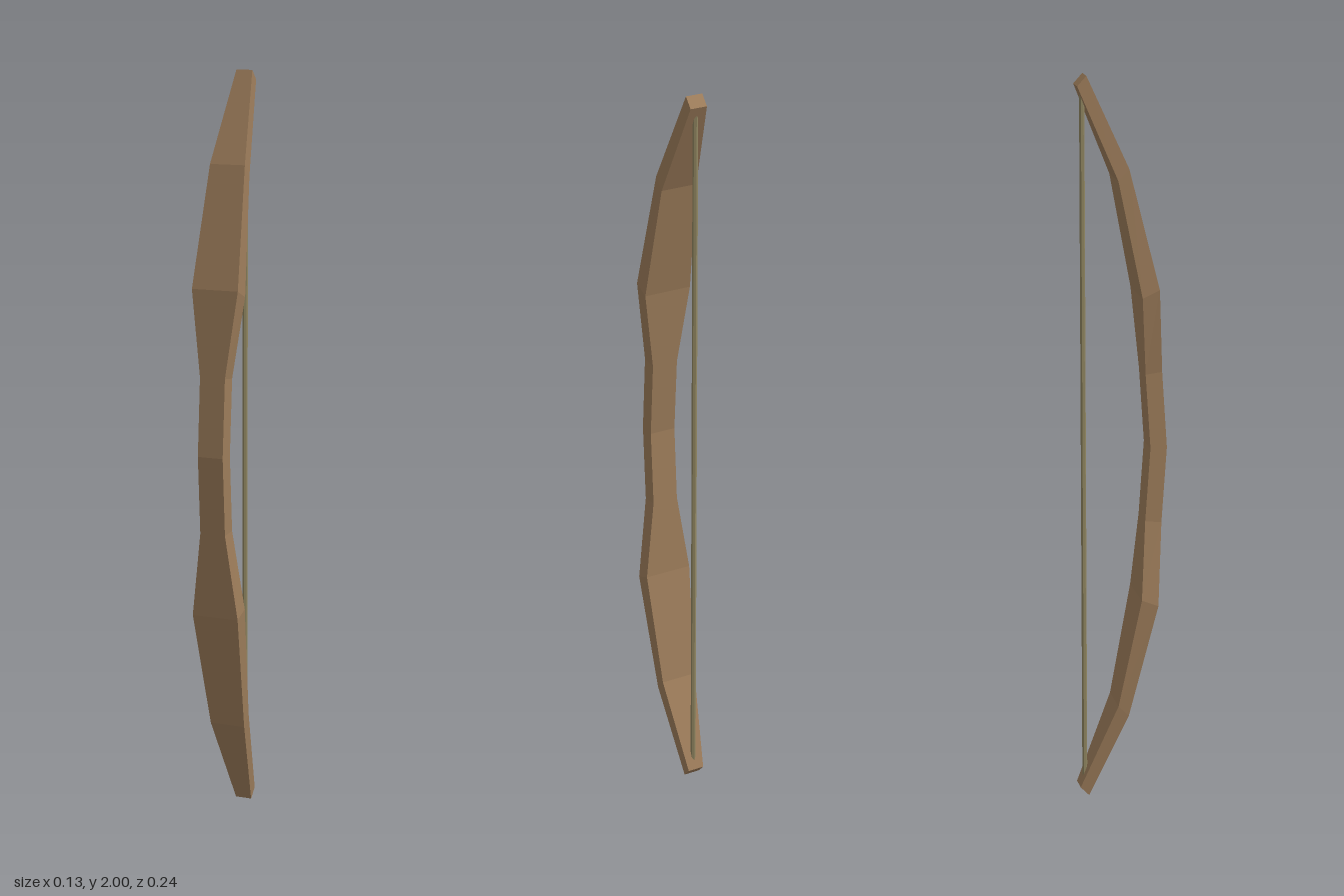
import * as THREE from 'three';

// Upper half of the bow: [front y, front z, back y, back z, half width], grip to tip
const HALF = [
  [1.0, 0.117, 1.0, 0.072, 0.036],
  [1.21, 0.103, 1.205, 0.058, 0.036],
  [1.44, 0.088, 1.42, 0.042, 0.066],
  [1.76, 0.01, 1.73, -0.019, 0.05],
  [2.0, -0.096, 1.974, -0.12, 0.023],
];

// Loft rectangular cross-sections into a closed limb
function loftBow(sections) {
  const pos = [];
  const rings = sections.map(([fy, fz, by, bz, w]) => [
    [w, fy, fz], [-w, fy, fz], [-w, by, bz], [w, by, bz],
  ]);
  const quad = (a, b, c, d) => pos.push(...a, ...b, ...c, ...a, ...c, ...d);
  for (let i = 0; i < rings.length - 1; i++) {
    const lo = rings[i], hi = rings[i + 1];
    for (let k = 0; k < 4; k++) {
      const n = (k + 1) % 4;
      quad(lo[n], lo[k], hi[k], hi[n]);
    }
  }
  // End caps
  const [a, b, c, d] = rings[0];
  quad(a, b, c, d);
  const [e, f, g, h] = rings[rings.length - 1];
  quad(h, g, f, e);
  const geo = new THREE.BufferGeometry();
  geo.setAttribute('position', new THREE.Float32BufferAttribute(pos, 3));
  geo.computeVertexNormals();
  return geo;
}

export function createModel() {
  const group = new THREE.Group();
  group.name = 'bow';

  // Wooden stave, lower half mirrored from the upper
  const lower = HALF.slice(1).reverse().map(([fy, fz, by, bz, w]) => [2 - fy, fz, 2 - by, bz, w]);
  const stave = new THREE.Mesh(
    loftBow([...lower, ...HALF]),
    new THREE.MeshStandardMaterial({ color: 0x9c7c5a, flatShading: true })
  );
  stave.name = 'stave';
  group.add(stave);

  // Bowstring between the tips
  const string = new THREE.Mesh(
    new THREE.CylinderGeometry(0.007, 0.007, 1.93, 6),
    new THREE.MeshStandardMaterial({ color: 0x8f8560, flatShading: true })
  );
  string.name = 'bowstring';
  string.position.set(0, 1, -0.103);
  group.add(string);

  return group;
}
